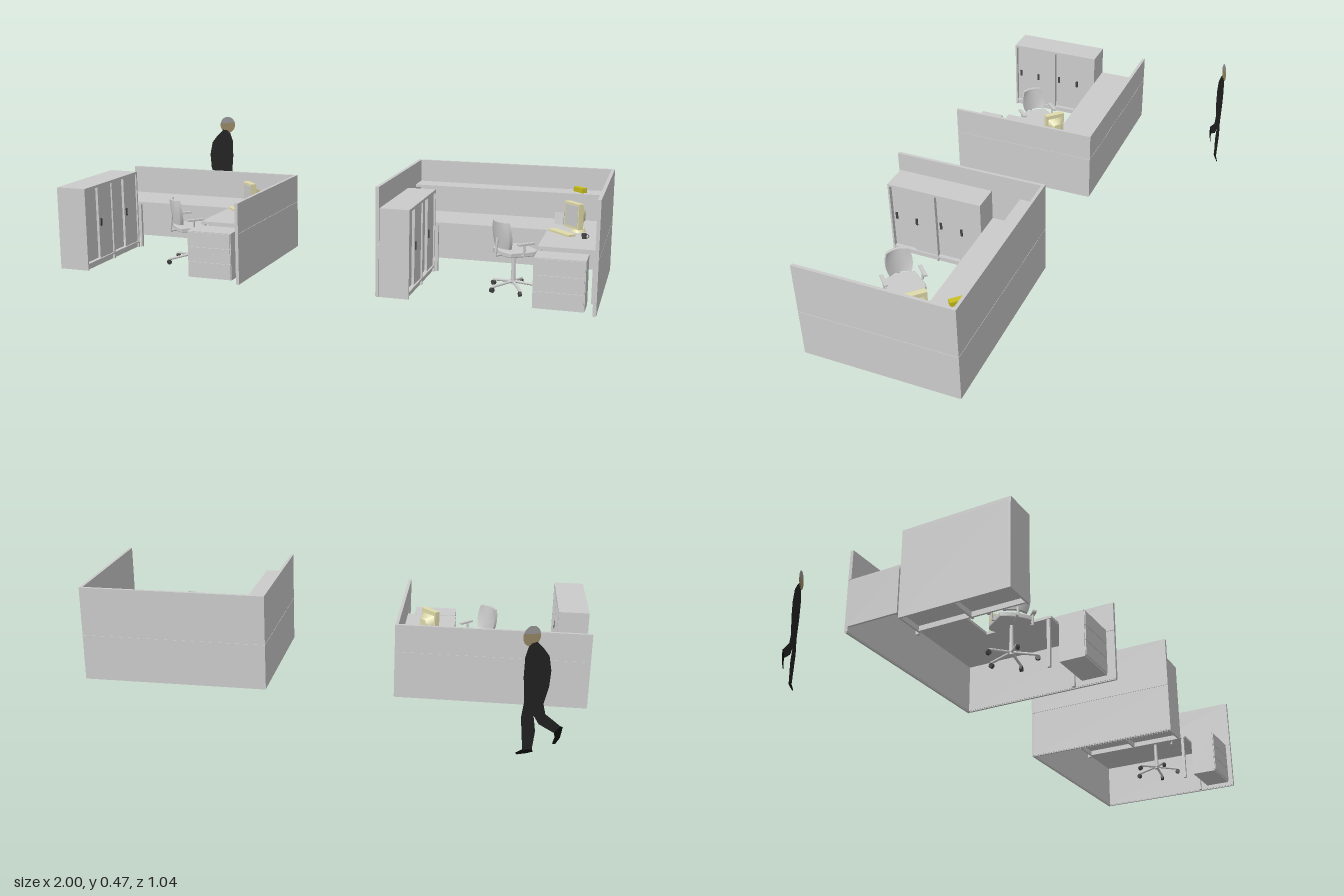
import * as THREE from 'three';

const mat = (color = 0xcccccc, side = THREE.FrontSide) => new THREE.MeshStandardMaterial({ color, side });
const grey = mat();
const beige = mat(0xe0dbab);
const dark = mat(0x444444);
const yellow = mat(0xc8c020);

function add(parent, name, geometry, material = grey, x = 0, y = 0, z = 0) {
  const mesh = new THREE.Mesh(geometry, material);
  mesh.name = name;
  mesh.position.set(x, y, z);
  parent.add(mesh);
  return mesh;
}

// Box given by its minimum and maximum on each axis
function span(parent, name, x0, x1, y0, y1, z0, z1, material = grey) {
  return add(parent, name, new THREE.BoxGeometry(x1 - x0, y1 - y0, z1 - z0), material,
    (x0 + x1) / 2, (y0 + y1) / 2, (z0 + z1) / 2);
}

// Straight round bar between two points
function bar(parent, name, a, b, r, material = grey) {
  const path = new THREE.LineCurve3(new THREE.Vector3(...a), new THREE.Vector3(...b));
  return add(parent, name, new THREE.TubeGeometry(path, 1, r, 8), material);
}

// Partition made of stacked tiles over a slim core, leaving a fine seam
function partition(parent, name, x0, x1, z0, z1, h) {
  const g = new THREE.Group();
  g.name = name;
  parent.add(g);
  const e = 0.002, seam = 0.19;
  span(g, 'core', x0 + e, x1 - e, 0, h - e, z0 + e, z1 - e);
  span(g, 'lowerTile', x0, x1, 0.003, seam - 0.001, z0, z1);
  span(g, 'upperTile', x0, x1, seam + 0.001, h, z0, z1);
}

// Storage cabinet with two bays of sliding doors facing +x
function cabinet(parent, x0, x1, z0, z1) {
  const g = new THREE.Group();
  g.name = 'storageCabinet';
  parent.add(g);
  const h = 0.315, t = 0.007, zm = (z0 + z1) / 2;
  span(g, 'cabinetTop', x0, x1, h - 0.01, h, z0, z1);
  span(g, 'cabinetBack', x0, x0 + t, 0, h, z0, z1);
  span(g, 'cabinetFloor', x0, x1, 0.018, 0.025, z0, z1);
  span(g, 'plinth', x1 - 0.015, x1 - 0.008, 0, 0.02, z0, z1);
  for (const z of [z0, zm - t / 2, z1 - t]) span(g, 'cabinetSide', x0, x1, 0, h - 0.005, z, z + t);
  const w = (zm - z0 - t * 1.5) / 2;
  for (const start of [z0 + t, zm + t / 2]) {
    for (let i = 0; i < 2; i++) {
      const depth = x1 - (i ? 0.016 : 0.006), z = start + i * w;
      span(g, 'slidingDoor', depth - 0.005, depth, 0.025, h - 0.01, z, z + w);
      span(g, 'doorHandle', depth, depth + 0.003, 0.15, 0.18, z + w * 0.8, z + w * 0.9, dark);
    }
  }
}

// Swivel chair facing -z
function chair(parent, x, z) {
  const g = new THREE.Group();
  g.name = 'swivelChair';
  g.position.set(x, 0, z);
  g.rotation.y = -Math.PI / 4;
  parent.add(g);
  for (let i = 0; i < 5; i++) {
    const a = i * Math.PI * 0.4 + 0.35, c = Math.cos(a), s = Math.sin(a);
    bar(g, 'baseLeg', [0, 0.032, 0], [c * 0.09, 0.02, s * 0.09], 0.005);
    const caster = add(g, 'caster', new THREE.CylinderGeometry(0.009, 0.009, 0.01, 12), dark, c * 0.088, 0.009, s * 0.088);
    caster.rotation.set(Math.PI / 2, 0, a);
  }
  add(g, 'column', new THREE.CylinderGeometry(0.006, 0.009, 0.11, 12), grey, 0, 0.077, 0);

  // Rounded trapezoid cushion
  const seat = new THREE.Shape();
  seat.moveTo(-0.045, -0.06);
  seat.quadraticCurveTo(0, -0.072, 0.045, -0.06);
  seat.quadraticCurveTo(0.068, -0.055, 0.066, -0.03);
  seat.lineTo(0.052, 0.05);
  seat.quadraticCurveTo(0, 0.068, -0.052, 0.05);
  seat.lineTo(-0.066, -0.03);
  seat.quadraticCurveTo(-0.068, -0.055, -0.045, -0.06);
  const cushion = new THREE.ExtrudeGeometry(seat, { depth: 0.012, bevelSize: 0.003, bevelThickness: 0.003, bevelSegments: 2 });
  cushion.rotateX(Math.PI / 2);
  add(g, 'seat', cushion, grey, 0, 0.148, 0);

  // Curved backrest with tapered bottom
  const back = new THREE.BoxGeometry(0.1, 0.095, 0.012, 10, 6, 1);
  const p = back.attributes.position;
  for (let i = 0; i < p.count; i++) {
    const u = p.getX(i) / 0.05, v = p.getY(i) / 0.0475;
    p.setX(i, p.getX(i) * (1 - 0.18 * v * v));
    p.setZ(i, p.getZ(i) - 0.014 * u * u + 0.006 * v);
  }
  back.computeVertexNormals();
  add(g, 'backrest', back, grey, 0, 0.208, 0.066);
  bar(g, 'backSupport', [0, 0.135, 0.03], [0, 0.135, 0.08], 0.005);
  bar(g, 'backSupport', [0, 0.135, 0.08], [0, 0.2, 0.072], 0.005);
  for (const s of [-1, 1]) {
    bar(g, 'armSupport', [s * 0.045, 0.136, 0.01], [s * 0.072, 0.14, 0.01], 0.004);
    bar(g, 'armSupport', [s * 0.072, 0.138, 0.01], [s * 0.072, 0.18, 0.01], 0.004);
    span(g, 'armrest', s * 0.072 - 0.007, s * 0.072 + 0.007, 0.178, 0.185, -0.03, 0.035);
  }
}

// Monitor and keyboard facing the chair
function computer(parent, x, z) {
  const g = new THREE.Group();
  g.name = 'computer';
  g.position.set(x, 0.19, z);
  g.rotation.y = -Math.PI / 4;
  parent.add(g);
  add(g, 'monitorStand', new THREE.CylinderGeometry(0.022, 0.028, 0.012, 24), beige, 0, 0.006, -0.022);
  span(g, 'monitorFrame', -0.04, 0.04, 0.015, 0.108, -0.012, 0.01, beige);
  span(g, 'screen', -0.033, 0.033, 0.024, 0.1, 0.009, 0.0115);
  const tube = add(g, 'monitorRear', new THREE.CylinderGeometry(0.022, 0.045, 0.03, 4, 1, false, Math.PI / 4), beige, 0, 0.06, -0.027);
  tube.rotation.x = -Math.PI / 2;
  span(g, 'keyboard', -0.058, 0.058, 0, 0.007, 0.035, 0.068, beige);
}

// L-shaped desk, partitions, storage and seating
function workstation(name, o) {
  const g = new THREE.Group();
  g.name = name;
  const { x0, x1, z0, z1, h, enclosed } = o, t = 0.012;
  const left = enclosed ? x0 + t : x0, right = x1 - t, inner = z0 + t;
  const edge = x0 + 0.118, ret = x1 - 0.215, top = 0.19, under = 0.18;
  partition(g, 'backPartition', x0, x1, z0, inner, h);
  partition(g, 'rightPartition', right, x1, inner, z1, h);
  if (enclosed) partition(g, 'leftPartition', x0, left, inner, z1, h);
  else span(g, 'deskEndPanel', left, left + 0.008, 0.02, under, inner, 0.12);

  // Worktop as one L outline
  const l = new THREE.Shape([[left, -inner], [right, -inner], [right, -0.38], [ret, -0.38], [ret, -0.125], [left, -0.125]]
    .map(([x, y]) => new THREE.Vector2(x, y)));
  const slab = new THREE.ExtrudeGeometry(l, { depth: top - under, bevelEnabled: false });
  slab.rotateX(-Math.PI / 2);
  add(g, 'worktop', slab, grey, 0, under, 0);
  for (const [x, z] of [[edge + 0.006, 0.115], [ret + 0.008, 0.368], [right - 0.012, 0.368]]) {
    span(g, 'deskLeg', x - 0.005, x + 0.005, 0, under, z - 0.006, z + 0.006);
  }

  cabinet(g, left, edge, 0.125, z1 - 0.005);

  // Drawer pedestal
  const px = ret + 0.004, pw = 0.172;
  span(g, 'pedestal', px, px + pw, 0.008, 0.182, 0.408, 0.503);
  for (let i = 0; i < 3; i++) {
    const y = 0.014 + i * 0.056;
    span(g, 'drawerFront', px + 0.003, px + pw - 0.003, y, y + 0.053, 0.503, 0.507);
  }

  chair(g, x1 - 0.31, 0.28);
  computer(g, x1 - 0.123, 0.128);

  if (enclosed) {
    // Overhead shelf and small desk items
    span(g, 'shelf', left, right, 0.298, 0.307, inner, 0.01);
    const phone = span(g, 'shelfItem', -0.025, 0.025, 0.307, 0.325, -0.011, 0.011, yellow);
    phone.position.x = 0.882;
    phone.position.z = -0.03;
    phone.rotation.y = -Math.PI / 4;
    const frame = add(g, 'deskCard', new THREE.BoxGeometry(0.035, 0.045, 0.004), grey, 0.815, 0.213, 0.02);
    frame.rotation.set(-0.15, -0.3, 0);
    add(g, 'cup', new THREE.CylinderGeometry(0.009, 0.008, 0.018, 16), dark, 0.925, 0.199, 0.22);
    add(g, 'cupHandle', new THREE.TorusGeometry(0.006, 0.0015, 6, 14), dark, 0.935, 0.199, 0.22);
  }
  return g;
}

// Flat cut-out of a walking figure
function figure() {
  const g = new THREE.Group();
  g.name = 'walkingFigure';
  g.position.set(-0.79, 0, -0.486);
  g.rotation.y = Math.atan(0.5);
  const flat = (name, pts, color, z = 0) => add(g, name,
    new THREE.ShapeGeometry(new THREE.Shape(pts.map(p => new THREE.Vector2(...p)))), mat(color, THREE.DoubleSide), 0, 0, z);
  flat('suit', [[0.015, 0.412], [-0.012, 0.385], [-0.035, 0.355], [-0.046, 0.3], [-0.042, 0.24], [-0.025, 0.18],
    [-0.035, 0.14], [-0.098, 0.085], [-0.075, 0.062], [-0.012, 0.105], [0.01, 0.14], [0, 0.08], [0.008, 0.012],
    [0.045, 0.015], [0.052, 0.08], [0.058, 0.14], [0.05, 0.2], [0.058, 0.29], [0.057, 0.36], [0.047, 0.395], [0.036, 0.408]], 0x222222);
  flat('rearShoe', [[-0.098, 0.085], [-0.108, 0.08], [-0.1, 0.04], [-0.082, 0.018], [-0.07, 0.022], [-0.078, 0.045], [-0.075, 0.064]], 0x0a0a0a);
  flat('frontShoe', [[0.008, 0.014], [0.004, 0.002], [0.03, 0], [0.065, 0.001], [0.073, 0.008], [0.045, 0.018]], 0x0a0a0a);
  const oval = (a0, a1) => new THREE.Shape(new THREE.EllipseCurve(0.036, 0.434, 0.033, 0.037, a0, a1).getPoints(20));
  add(g, 'face', new THREE.ShapeGeometry(oval(Math.PI * 0.95, Math.PI * 2.1)), mat(0x9a8a66, THREE.DoubleSide));
  add(g, 'hair', new THREE.ShapeGeometry(oval(Math.PI * 0.1, Math.PI * 0.95)), mat(0x999999, THREE.DoubleSide));
  return g;
}

export function createModel() {
  const model = new THREE.Group();
  model.name = 'officeWorkstations';
  model.add(workstation('openWorkstation', { x0: -1, x1: -0.26, z0: -0.08, z1: 0.525, h: 0.3, enclosed: false }));
  model.add(workstation('enclosedWorkstation', { x0: 0.25, x1: 1, z0: -0.088, z1: 0.517, h: 0.39, enclosed: true }));
  model.add(figure());
  return model;
}
